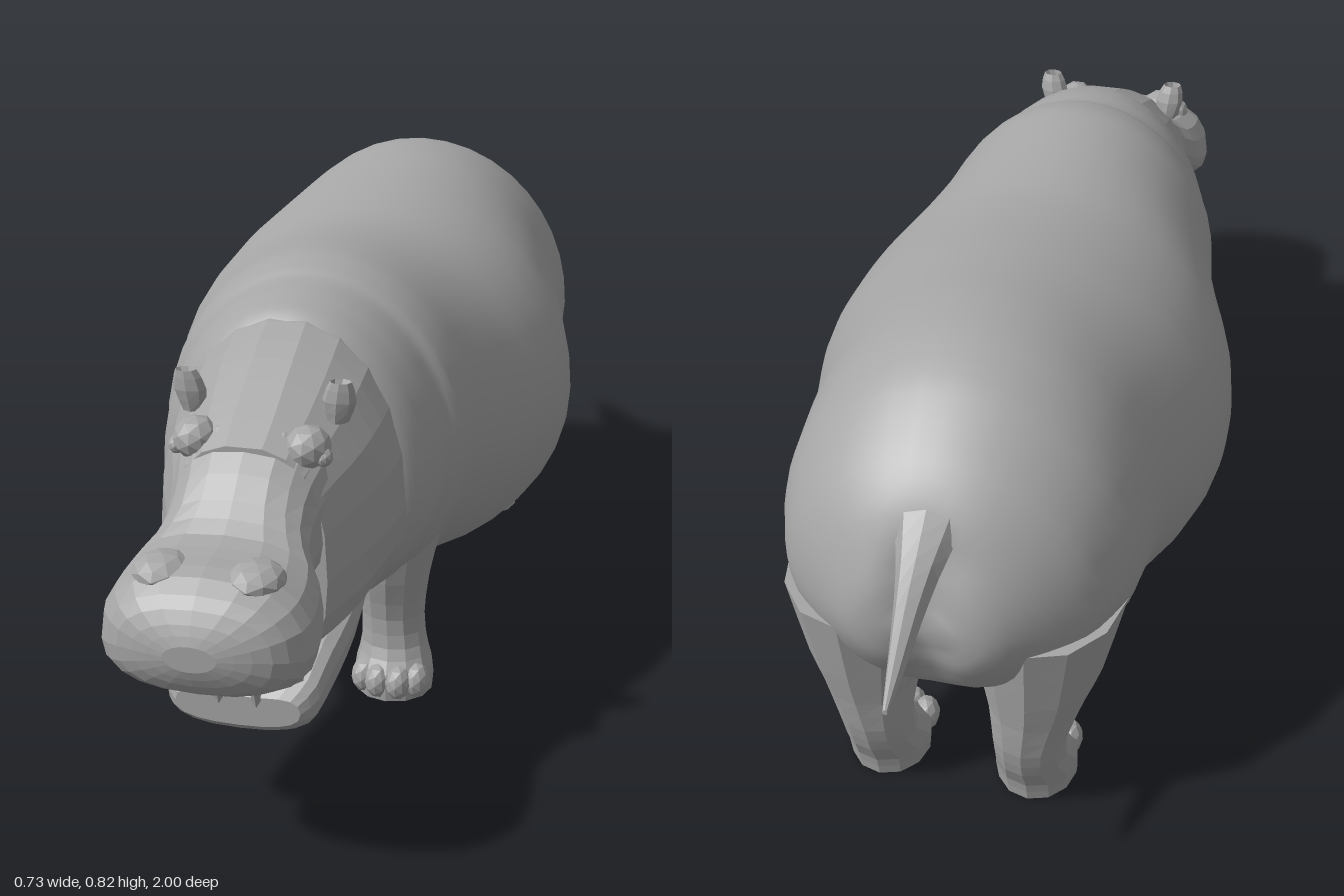
import * as THREE from 'three';

const SIDES = [1, -1];
const hide = new THREE.MeshStandardMaterial({ color: 0xa6a6a6 });
hide.name = 'grey hide';

// Smooth interpolation of rows of section numbers
function resample(rows, steps) {
  const curves = rows[0].map((_, c) =>
    new THREE.CatmullRomCurve3(rows.map(r => new THREE.Vector3(r[c], 0, 0)), false, 'catmullrom', 0.4));
  return Array.from({ length: steps + 1 }, (_, i) => curves.map(k => k.getPoint(i / steps).x));
}

// Closed skin over rings of points, capped at both ends
function skin(rings) {
  const n = rings[0].length, pos = [], index = [];
  rings.forEach(r => r.forEach(p => pos.push(...p)));
  for (let i = 0; i < rings.length - 1; i++) {
    for (let j = 0; j < n; j++) {
      const a = i * n + j, b = i * n + (j + 1) % n;
      index.push(a, b, b + n, a, b + n, a + n);
    }
  }
  [0, rings.length - 1].forEach((ri, end) => {
    const c = [0, 1, 2].map(k => rings[ri].reduce((s, p) => s + p[k], 0) / n);
    const ci = pos.length / 3;
    pos.push(...c);
    for (let j = 0; j < n; j++) {
      const a = ri * n + j, b = ri * n + (j + 1) % n;
      if (end) index.push(ci, a, b); else index.push(ci, b, a);
    }
  });
  const g = new THREE.BufferGeometry();
  g.setAttribute('position', new THREE.Float32BufferAttribute(pos, 3));
  g.setIndex(index);
  g.computeVertexNormals();
  return g;
}

function faceted(g) {
  const f = g.index ? g.toNonIndexed() : g;
  f.computeVertexNormals();
  return f;
}

// Loft along z; row = [z, top, bottom, half width, height of widest point, squareness]
function loftZ(rows, steps, n, bend = p => p) {
  const pw = (v, e) => Math.sign(v) * Math.abs(v) ** (2 / e);
  return skin(resample(rows, steps).map(([z, top, bot, w, mid, e]) =>
    Array.from({ length: n }, (_, j) => {
      const a = (j / n) * Math.PI * 2, s = pw(Math.sin(a), e);
      const y = mid + (s > 0 ? top - mid : mid - bot) * s;
      return bend([w * pw(Math.cos(a), e), y, z], w, mid);
    })));
}

// Loft along y; row = [y, centre x, centre z, radius x, radius z]
function loftY(rows, steps, n, side) {
  return skin(resample(rows, steps).map(([y, cx, cz, rx, rz]) =>
    Array.from({ length: n }, (_, j) => {
      const a = (j / n) * Math.PI * 2;
      return [side * cx + rx * Math.cos(a), y, cz - rz * Math.sin(a)];
    })));
}

function blob(x, y, z, sx, sy, sz) {
  return faceted(new THREE.IcosahedronGeometry(1, 1).scale(sx, sy, sz).translate(x, y, z));
}

export function createModel() {
  const model = new THREE.Group();
  model.name = 'hippopotamus';
  const add = (name, geometry, parent = model) => {
    const m = new THREE.Mesh(geometry, hide);
    m.name = name;
    parent.add(m);
    return m;
  };

  // Barrel body with neck folds and a cleft between the buttocks
  add('body', loftZ([
    [-0.825, 0.50, 0.43, 0.05, 0.47, 2],
    [-0.81, 0.57, 0.38, 0.12, 0.47, 2],
    [-0.76, 0.665, 0.31, 0.19, 0.47, 2],
    [-0.70, 0.725, 0.27, 0.25, 0.47, 2],
    [-0.60, 0.79, 0.235, 0.29, 0.47, 2],
    [-0.50, 0.82, 0.205, 0.30, 0.47, 2],
    [-0.40, 0.823, 0.155, 0.31, 0.46, 2],
    [-0.30, 0.812, 0.125, 0.34, 0.43, 2],
    [-0.20, 0.80, 0.115, 0.362, 0.42, 2],
    [-0.10, 0.787, 0.118, 0.365, 0.42, 2],
    [0.00, 0.78, 0.13, 0.35, 0.43, 2],
    [0.10, 0.787, 0.16, 0.315, 0.44, 2],
    [0.20, 0.797, 0.19, 0.282, 0.46, 2],
    [0.28, 0.80, 0.205, 0.267, 0.48, 2],
    [0.335, 0.788, 0.212, 0.258, 0.48, 2],
    [0.36, 0.777, 0.222, 0.24, 0.48, 2],
    [0.41, 0.77, 0.225, 0.236, 0.47, 2],
    [0.46, 0.757, 0.235, 0.222, 0.46, 2],
    [0.485, 0.74, 0.25, 0.205, 0.46, 2],
    [0.50, 0.72, 0.28, 0.185, 0.46, 2],
  ], 60, 40, ([x, y, z]) => {
    const rear = THREE.MathUtils.smoothstep(-z, 0.7, 0.82) * (y < 0.6 ? 1 : 0.3);
    return [x, y, z + 0.03 * rear * Math.exp(-((x / 0.05) ** 2))];
  }));

  // Head, upper jaw with broad muzzle, and dropped lower jaw
  add('head', faceted(loftZ([
    [0.40, 0.755, 0.245, 0.20, 0.46, 2],
    [0.48, 0.745, 0.25, 0.198, 0.45, 2.1],
    [0.55, 0.715, 0.265, 0.19, 0.44, 2.2],
    [0.62, 0.678, 0.25, 0.172, 0.43, 2.3],
    [0.68, 0.645, 0.25, 0.147, 0.42, 2.5],
    [0.725, 0.62, 0.26, 0.128, 0.41, 2.6],
  ], 9, 22)));
  add('upperJaw', faceted(loftZ([
    [0.60, 0.67, 0.42, 0.13, 0.50, 2.6],
    [0.68, 0.642, 0.40, 0.132, 0.49, 2.6],
    [0.74, 0.60, 0.40, 0.118, 0.47, 2.6],
    [0.79, 0.55, 0.40, 0.122, 0.45, 2.6],
    [0.83, 0.52, 0.375, 0.15, 0.42, 2.6],
    [0.88, 0.512, 0.335, 0.16, 0.40, 2.6],
    [0.93, 0.507, 0.325, 0.157, 0.39, 2.6],
    [0.97, 0.48, 0.335, 0.128, 0.40, 2.5],
    [0.99, 0.45, 0.36, 0.085, 0.405, 2.3],
    [1.00, 0.425, 0.385, 0.04, 0.405, 2],
  ], 16, 20)));
  add('lowerJaw', faceted(loftZ([
    [0.53, 0.40, 0.28, 0.15, 0.34, 2.3],
    [0.62, 0.37, 0.235, 0.152, 0.31, 2.5],
    [0.67, 0.345, 0.20, 0.143, 0.28, 2.6],
    [0.72, 0.315, 0.172, 0.133, 0.26, 2.7],
    [0.76, 0.28, 0.165, 0.122, 0.23, 2.7],
    [0.785, 0.25, 0.185, 0.10, 0.215, 2.5],
  ], 9, 20, ([x, y, z], w, mid) =>
    [x, y > mid ? y - 0.45 * (y - mid) * (1 - (x / w) ** 2) : y, z])));

  // Short tapering tail
  add('tail', faceted(loftZ([
    [-1.00, 0.49, 0.48, 0.004, 0.485, 2],
    [-0.95, 0.53, 0.492, 0.012, 0.51, 2],
    [-0.88, 0.585, 0.52, 0.022, 0.552, 2],
    [-0.82, 0.625, 0.555, 0.033, 0.59, 2],
    [-0.76, 0.668, 0.59, 0.05, 0.63, 2],
  ], 8, 8)));

  for (const s of SIDES) {
    const side = s > 0 ? 'left' : 'right';

    // Cupped ears, brows, eyes and nostril swellings
    add(side + 'Ear', faceted(loftY([
      [0.63, 0.115, 0.61, 0.018, 0.018],
      [0.665, 0.119, 0.615, 0.027, 0.02],
      [0.697, 0.123, 0.62, 0.017, 0.013],
      [0.672, 0.119, 0.622, 0.010, 0.008],
    ], 6, 8, s)));
    add(side + 'Brow', blob(s * 0.088, 0.612, 0.682, 0.036, 0.034, 0.04));
    add(side + 'Eye', blob(s * 0.115, 0.602, 0.692, 0.014, 0.015, 0.017));
    add(side + 'Nostril', blob(s * 0.07, 0.492, 0.90, 0.045, 0.026, 0.05));

    // Tusks and front teeth
    for (const [name, x, y, z, r, h] of [['Tusk', 0.085, 0.262, 0.752, 0.022, 0.06], ['Incisor', 0.03, 0.228, 0.778, 0.014, 0.045]]) {
      const tooth = add(side + name, faceted(new THREE.CylinderGeometry(r * 0.45, r, h, 6)));
      tooth.position.set(s * x, y, z);
      tooth.rotation.x = 0.5;
    }

    // Legs with flat feet and four toes each
    const legs = {
      FrontLeg: { toeZ: 0.272, reach: 0.045, rows: [
        [0, 0.127, 0.262, 0.068, 0.07], [0.04, 0.127, 0.262, 0.071, 0.072],
        [0.085, 0.125, 0.252, 0.06, 0.056], [0.15, 0.122, 0.253, 0.057, 0.055],
        [0.25, 0.127, 0.265, 0.067, 0.073], [0.40, 0.14, 0.27, 0.095, 0.10]] },
      HindLeg: { toeZ: -0.578, reach: 0.045, rows: [
        [0, 0.13, -0.60, 0.068, 0.078], [0.04, 0.13, -0.605, 0.071, 0.082],
        [0.09, 0.13, -0.647, 0.061, 0.066], [0.15, 0.132, -0.665, 0.063, 0.066],
        [0.22, 0.14, -0.645, 0.08, 0.098], [0.28, 0.145, -0.63, 0.10, 0.125],
        [0.42, 0.15, -0.61, 0.13, 0.17]] },
    };
    for (const [name, { toeZ, reach, rows }] of Object.entries(legs)) {
      const leg = new THREE.Group();
      leg.name = side + name;
      model.add(leg);
      add('limb', faceted(loftY(rows, 12, 12, s)), leg);
      [-0.95, -0.32, 0.32, 0.95].forEach(a => add('toe', blob(
        s * 0.128 + 0.057 * Math.sin(a), 0.032, toeZ + reach * Math.cos(a), 0.024, 0.032, 0.03), leg));
    }
  }
  return model;
}
